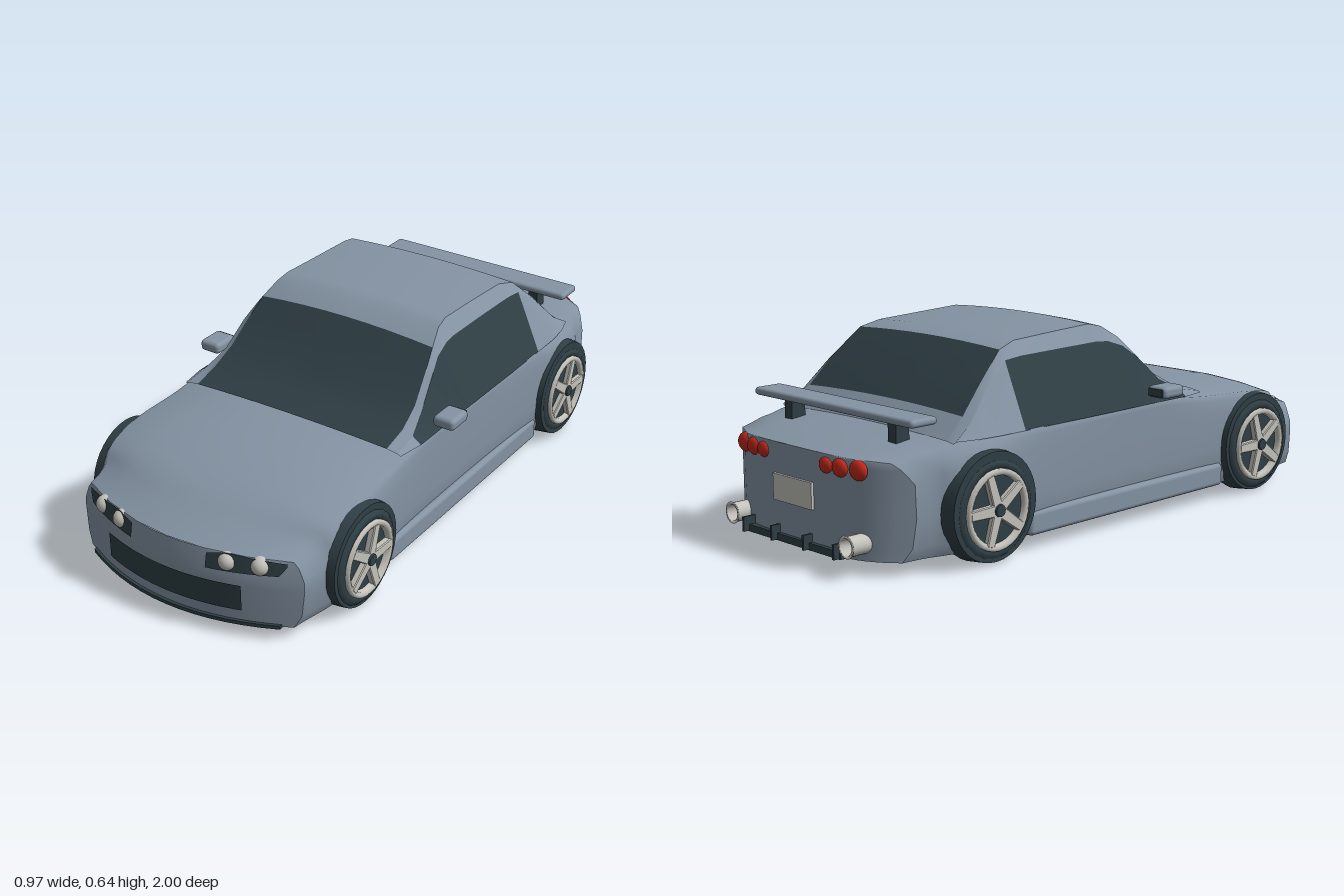
import * as THREE from 'three';
import { mergeVertices } from 'three/addons/utils/BufferGeometryUtils.js';
import { RoundedBoxGeometry } from 'three/addons/geometries/RoundedBoxGeometry.js';

const mat = (name, color, side = THREE.DoubleSide) => {
  const m = new THREE.MeshStandardMaterial({ color, side });
  m.name = name;
  return m;
};
const V = (x, y, z) => new THREE.Vector3(x, y, z);

// Curved end faces of the body
const noseZ = (x, y) => 0.985 - 0.7 * x * x - Math.max(0, y - 0.19) * 0.2;
const tailZ = (x) => -0.968 + 5 * x ** 4;
const bow = (p) => {
  const w = THREE.MathUtils.smoothstep(Math.abs(p.z), 0.7, 0.965);
  const dz = p.z > 0 ? noseZ(p.x, p.y) - 0.985 : tailZ(p.x) + 0.968;
  return V(p.x, p.y, p.z + w * dz);
};

// Smooth surface through rows of points, mirrored to the other side of the car
function sheet(rows) {
  const pos = [];
  const tri = (...ps) => {
    ps.forEach((p) => pos.push(p.x, p.y, p.z));
    [ps[0], ps[2], ps[1]].forEach((p) => pos.push(-p.x, p.y, p.z));
  };
  for (let r = 0; r < rows.length - 1; r++) {
    for (let c = 0; c < rows[r].length - 1; c++) {
      const a = rows[r][c], b = rows[r + 1][c], d = rows[r][c + 1], e = rows[r + 1][c + 1];
      tri(a, b, d);
      tri(b, e, d);
    }
  }
  const g = new THREE.BufferGeometry();
  g.setAttribute('position', new THREE.Float32BufferAttribute(pos, 3));
  const merged = mergeVertices(g, 1e-5);
  merged.computeVertexNormals();
  return merged;
}

// Resample rows along smooth lengthwise curves
function smoothRows(rows, n) {
  const curves = rows[0].map((_, c) => new THREE.CatmullRomCurve3(rows.map((r) => r[c])));
  return Array.from({ length: n + 1 }, (_, i) => curves.map((k) => k.getPoint(i / n)));
}

export function createModel() {
  const car = new THREE.Group();
  car.name = 'car';
  const paint = mat('bodyPaint', 0x8493a3);
  const dark = mat('darkGlassAndRubber', 0x2f3f45);
  const metal = mat('lightMetal', 0xc4c3bc);
  const dish = mat('rimShade', 0x90928f);
  const red = mat('tailRed', 0xc4291c);
  const add = (name, geo, material, parent = car, x = 0, y = 0, z = 0) => {
    const m = new THREE.Mesh(geo, material);
    m.name = name;
    m.position.set(x, y, z);
    parent.add(m);
    return m;
  };

  // Lower body: z, half width, shoulder fraction, shoulder height, centre height
  const floorY = 0.045;
  const sections = [
    [0.985, 0.41, 0.92, 0.262, 0.266], [0.9, 0.425, 0.9, 0.285, 0.3],
    [0.8, 0.435, 0.92, 0.31, 0.335], [0.62, 0.445, 0.95, 0.34, 0.368],
    [0.4, 0.43, 0.97, 0.352, 0.382], [0.2, 0.425, 0.99, 0.37, 0.375],
    [-0.2, 0.428, 0.99, 0.37, 0.375], [-0.45, 0.44, 0.97, 0.37, 0.375],
    [-0.6, 0.45, 0.92, 0.365, 0.38], [-0.78, 0.42, 0.9, 0.35, 0.365],
    [-0.88, 0.405, 0.9, 0.345, 0.352], [-0.968, 0.395, 0.88, 0.33, 0.338],
  ].map(([z, w, s, ys, yh]) => [
    V(w * 0.93, floorY, z), V(w * 0.98, 0.085, z), V(w, 0.17, z), V(w * 0.995, ys - 0.06, z),
    V(w * (0.45 + s * 0.55), ys - 0.02, z), V(w * s, ys, z),
    V(w * 0.62, (ys + 2 * yh) / 3, z), V(w * 0.3, yh, z), V(0, yh, z),
  ]);
  const flat = smoothRows(sections, 66);
  const hull = flat.map((r) => r.map(bow));
  add('bodyShell', sheet(hull), paint);
  add('floorPan', sheet(flat.map((r) => [0, 0.25, 0.5, 0.75, 1].map((t) => bow(V(r[0].x * t, floorY, r[0].z))))), paint);
  const cap = (row) => row.slice(0, 8).map((p) =>
    Array.from({ length: 11 }, (_, i) => bow(V(p.x * (1 - i / 10), p.y, p.z))));
  add('nosePanel', sheet(cap(flat[0]).reverse()), paint);
  add('tailPanel', sheet(cap(flat[flat.length - 1])), paint);

  // Cabin: z, belt x, side glass top x/y, roof edge x/y, centre y
  const cabin = [
    [0.37, 0.41, 0.4, 0.372, 0.36, 0.378, 0.386], [0.28, 0.425, 0.395, 0.39, 0.36, 0.402, 0.418],
    [0.2, 0.425, 0.375, 0.43, 0.352, 0.445, 0.458], [0.12, 0.425, 0.36, 0.505, 0.338, 0.52, 0.535],
    [0.06, 0.425, 0.345, 0.55, 0.325, 0.575, 0.592], [0, 0.426, 0.338, 0.57, 0.308, 0.614, 0.626],
    [-0.05, 0.427, 0.335, 0.574, 0.302, 0.626, 0.637], [-0.2, 0.428, 0.335, 0.572, 0.302, 0.62, 0.628],
    [-0.38, 0.428, 0.338, 0.57, 0.305, 0.612, 0.621], [-0.45, 0.428, 0.342, 0.565, 0.318, 0.594, 0.605],
    [-0.55, 0.428, 0.365, 0.49, 0.34, 0.508, 0.517], [-0.63, 0.42, 0.385, 0.41, 0.352, 0.425, 0.436],
    [-0.7, 0.4, 0.39, 0.36, 0.36, 0.365, 0.375],
  ].map(([z, bx, ax, ay, rx, ry, cy]) => ({
    side: [V(bx, 0.368, z), V(ax, ay, z)],
    pillar: [V(ax, ay, z), V(rx, ry, z)],
    top: [1, 0.75, 0.5, 0.25, 0].map((t) => V(rx * t, cy + (ry - cy) * t * t, z)),
  }));
  const strip = (name, key, from, to, m) => add(name, sheet(cabin.slice(from, to + 1).map((r) => r[key])), m);
  strip('frontQuarterPanels', 'side', 0, 1, paint);
  strip('sideWindows', 'side', 1, 9, dark);
  strip('rearQuarterPanels', 'side', 9, 12, paint);
  strip('roofPillars', 'pillar', 0, 12, paint);
  strip('windscreen', 'top', 0, 4, dark);
  strip('roof', 'top', 4, 9, paint);
  strip('rearWindow', 'top', 9, 11, dark);
  strip('rearDeck', 'top', 11, 12, paint);

  // Thin plates that follow the nose
  const nosePlate = (name, x0, x1, bottom, top) => {
    const rows = Array.from({ length: 13 }, (_, i) => {
      const x = x0 + ((x1 - x0) * i) / 12, b = bottom(x), t = top(x);
      return [0, 0.25, 0.5, 0.75, 1].map((k) => b + (t - b) * k).map((y) => V(x, y, noseZ(x, y) + 0.006));
    });
    add(name, sheet(rows), dark);
  };
  nosePlate('grille', 0, 0.245, () => 0.09, () => 0.175);
  nosePlate('headlightPanels', 0.137, 0.365,
    (x) => (x > 0.35 ? 0.218 + (x - 0.35) * 2 : 0.212 + (x - 0.137) * 0.03),
    (x) => (x < 0.2 ? 0.257 + (x - 0.137) * 0.22 : 0.271 - (x - 0.2) * 0.08));

  // Front splitter
  const lip = new THREE.Shape([new THREE.Vector2(0.35, 0.85), new THREE.Vector2(-0.35, 0.85)]);
  for (let i = 0; i <= 14; i++) {
    const x = -0.35 + i * 0.05;
    lip.lineTo(x, noseZ(x, 0.1) + 0.01);
  }
  const lipGeo = new THREE.ExtrudeGeometry(lip, { depth: 0.012, bevelEnabled: false }).rotateX(Math.PI / 2);
  add('frontSplitter', lipGeo, dark, car, 0, 0.053, 0);

  // Wheel shapes, axle along y with the outer face at +y
  const P = (r, y) => new THREE.Vector2(r, y);
  const tyreGeo = new THREE.LatheGeometry([P(0.02, -0.06), P(0.14, -0.06), P(0.155, -0.048), P(0.158, -0.03),
    P(0.158, 0.03), P(0.152, 0.048), P(0.138, 0.06), P(0.122, 0.06), P(0.114, 0.045)], 20);
  const dishGeo = new THREE.CylinderGeometry(0.116, 0.116, 0.02, 32);
  const rimGeo = new THREE.LatheGeometry([P(0.122, 0.045), P(0.121, 0.068), P(0.112, 0.072), P(0.102, 0.066), P(0.1, 0.045)], 32);
  const spokeShape = new THREE.Shape([P(-0.015, 0.015), P(0.015, 0.015), P(0.012, 0.108), P(-0.012, 0.108)]);
  const spokeGeo = new THREE.ExtrudeGeometry(spokeShape, {
    depth: 0.016, bevelEnabled: true, bevelSize: 0.003, bevelThickness: 0.003, bevelSegments: 1,
  }).rotateX(-Math.PI / 2);
  const archGeo = new THREE.CylinderGeometry(0.163, 0.17, 0.06, 36);

  for (const s of [1, -1]) {
    const side = s > 0 ? 'left' : 'right';
    for (const [end, z, archX] of [['Front', 0.62, 0.423], ['Rear', -0.6, 0.427]]) {
      const wheel = new THREE.Group();
      wheel.name = side + end + 'Wheel';
      wheel.position.set(s * 0.402, 0.165, z);
      wheel.rotation.z = -s * Math.PI / 2;
      car.add(wheel);
      add('tyre', tyreGeo, dark, wheel);
      add('rimDish', dishGeo, dish, wheel, 0, 0.038, 0);
      add('rimRing', rimGeo, metal, wheel);
      for (let i = 0; i < 5; i++) add('spoke', spokeGeo, metal, wheel, 0, 0.052, 0).rotation.y = (i * Math.PI * 2) / 5;
      add('hub', new THREE.CylinderGeometry(0.018, 0.024, 0.03, 16), dark, wheel, 0, 0.062, 0);
      const arch = add(side + end + 'WheelArch', archGeo, dark, car, s * archX, 0.172, z);
      arch.rotation.z = -s * Math.PI / 2;
    }

    // Side details
    add(side + 'Sill', new RoundedBoxGeometry(0.05, 0.075, 0.9, 3, 0.015), paint, car, s * 0.415, 0.085, 0.01);
    add(side + 'Mirror', new RoundedBoxGeometry(0.075, 0.038, 0.095, 3, 0.014), paint, car, s * 0.449, 0.408, 0.15);
    add(side + 'MirrorGlass', new THREE.BoxGeometry(0.056, 0.024, 0.004), dark, car, s * 0.449, 0.408, 0.102);

    // Lamps
    for (const x of [0.195, 0.288]) {
      add(side + 'Headlamp', new THREE.SphereGeometry(0.029, 20, 14), metal, car, s * x, 0.239, noseZ(x, 0.239) - 0.008);
    }
    for (const [x, r] of [[0.145, 0.024], [0.2, 0.027], [0.262, 0.03]]) {
      add(side + 'TailLamp', new THREE.SphereGeometry(r, 18, 12).scale(1.15, 1, 0.6), red, car, s * x, 0.305, tailZ(x) + 0.002);
    }

    // Exhaust tips
    const pipe = new THREE.LatheGeometry([P(0.03, -0.045), P(0.03, 0.04), P(0.034, 0.045), P(0.025, 0.045), P(0.022, -0.03), P(0, -0.03)], 20);
    add(side + 'Exhaust', pipe.rotateX(-Math.PI / 2), metal, car, s * 0.268, 0.095, -0.953);

    // Diffuser fins and spoiler supports
    for (const x of [0.075, 0.212]) add(side + 'DiffuserFin', new THREE.BoxGeometry(0.008, 0.045, 0.09), dark, car, s * x, 0.07, -0.955);
    add(side + 'SpoilerSupport', new THREE.BoxGeometry(0.035, 0.08, 0.05), dark, car, s * 0.24, 0.385, -0.775);
  }

  // Rear details
  add('diffuserBar', new THREE.BoxGeometry(0.44, 0.022, 0.06), dark, car, 0, 0.056, -0.95);
  add('numberPlate', new THREE.BoxGeometry(0.18, 0.08, 0.009), metal, car, 0, 0.205, -0.972);
  add('spoilerWing', new RoundedBoxGeometry(0.73, 0.024, 0.1, 3, 0.011), paint, car, 0, 0.432, -0.785);

  return car;
}
